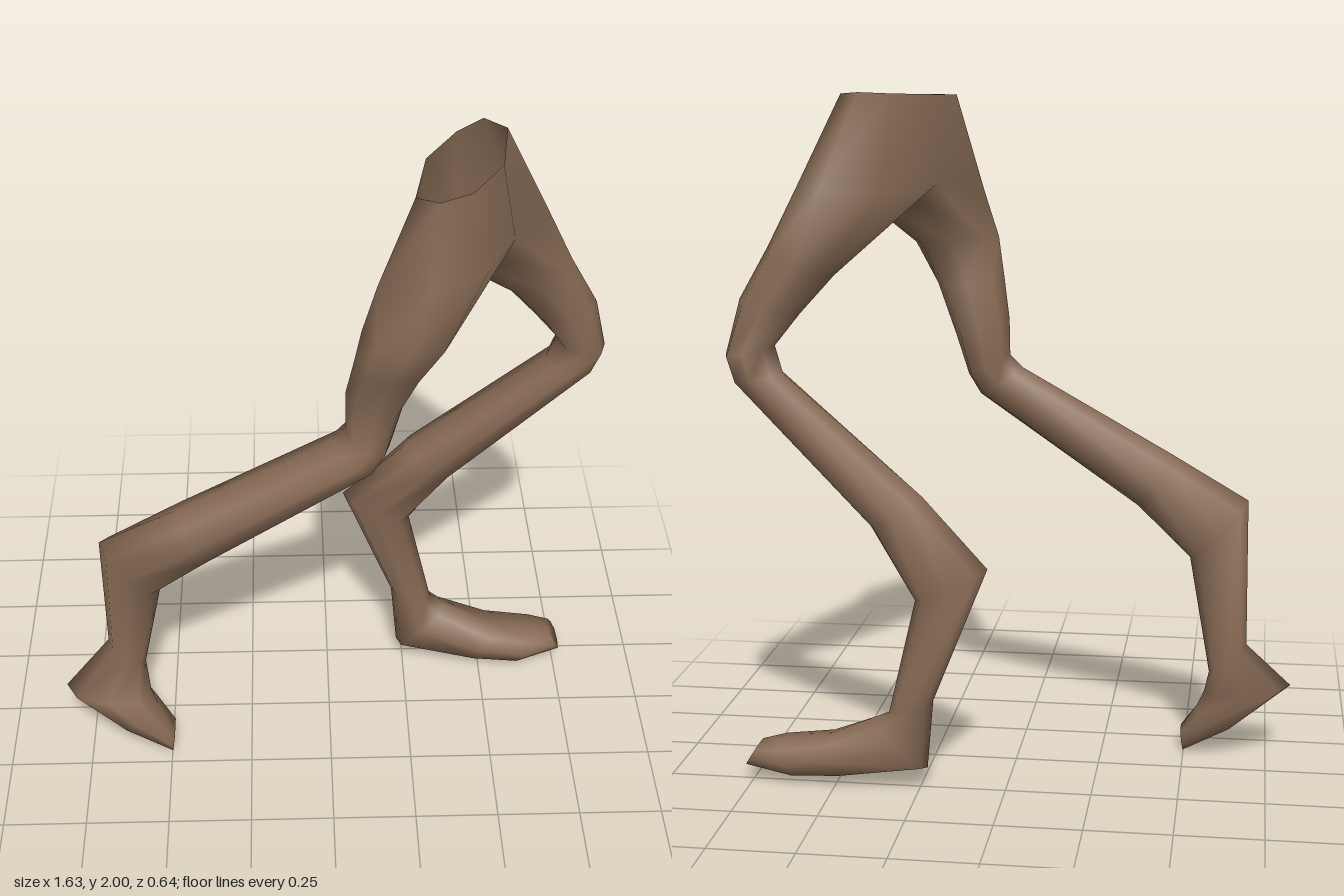
import * as THREE from 'three';

const SIDES = 8;

// Cross-section from its back edge (bx, by) to its front edge (fx, fy), spanning z0..z1.
// A power below 1 makes the section squarer.
function section([bx, by, fx, fy, z0, z1, power = 0.9]) {
  const soft = (v) => Math.sign(v) * Math.pow(Math.abs(v), power);
  return Array.from({ length: SIDES }, (_, i) => {
    const a = (i / SIDES) * Math.PI * 2;
    const c = Math.abs(Math.cos(a)) < 1e-6 ? 0 : soft(Math.cos(a));
    const s = Math.abs(Math.sin(a)) < 1e-6 ? 0 : soft(Math.sin(a));
    return [
      (bx + fx) / 2 + (c * (fx - bx)) / 2,
      (by + fy) / 2 + (c * (fy - by)) / 2,
      (z0 + z1) / 2 + (s * (z1 - z0)) / 2,
    ];
  });
}

export function createModel() {
  const group = new THREE.Group();
  group.name = 'stridingLegs';
  const skin = new THREE.MeshStandardMaterial({ color: 0x876a54, side: THREE.DoubleSide });
  skin.name = 'brown skin';

  // All parts share one vertex list, so shading stays smooth across the joins.
  const positions = [];
  const parts = [];
  const addPoint = (p) => positions.push(...p) / 3 - 1;
  const addRing = (points) => points.map(addPoint);

  function loft(name, rings, capped) {
    const index = [];
    for (let r = 0; r < rings.length - 1; r++) {
      const a = rings[r], b = rings[r + 1];
      for (let i = 0; i < SIDES; i++) {
        const j = (i + 1) % SIDES;
        index.push(a[i], a[j], b[j], a[i], b[j], b[i]);
      }
    }
    if (capped) {
      const end = rings[rings.length - 1];
      for (let i = 1; i < SIDES - 1; i++) index.push(end[0], end[i], end[i + 1]);
    }
    parts.push({ name, index });
  }

  // Pelvis: open rim above, hip line below; points run front, right, back, left
  const rim = addRing([
    [0.45, 1.99, 0.08], [0.36, 1.985, 0.22], [0.27, 1.985, 0.27], [0.21, 1.985, 0.24],
    [0.25, 1.99, 0.04], [0.34, 1.995, -0.1], [0.42, 2, -0.17], [0.48, 1.995, -0.12],
  ]);
  const hip = addRing([
    [0.5, 1.74, 0.03], [0.41, 1.74, 0.2], [0.25, 1.72, 0.3], [0.12, 1.7, 0.2],
    [0.23, 1.74, 0.01], [0.36, 1.72, -0.18], [0.53, 1.72, -0.235], [0.61, 1.74, -0.12],
  ]);
  loft('pelvis', [rim, hip], false);

  // Crotch line, back to front, shared by both thighs
  const crotch = addRing([[0.29, 1.69, 0.02], [0.38, 1.66, 0.03], [0.45, 1.69, 0.03]]);
  const rightTop = [...hip.slice(0, 5), ...crotch];
  const leftTop = [hip[0], crotch[2], crotch[1], crotch[0], ...hip.slice(4)];

  // Trailing right leg
  const rightRings = [
    [0.08, 1.57, 0.33, 1.55, 0.1, 0.32],
    [0.06, 1.45, 0.26, 1.43, 0.09, 0.28],
    [0.04, 1.33, 0.2, 1.28, 0.07, 0.23],
    [0.04, 1.22, 0.165, 1.16, 0.08, 0.25],
    [0.0, 1.18, 0.13, 1.1, 0.08, 0.26],
    [-0.45, 0.93, -0.35, 0.77, 0.06, 0.25],
    [-0.68, 0.8, -0.51, 0.62, 0.06, 0.21],
    [-0.685, 0.37, -0.575, 0.28, 0.03, 0.13],
  ].map((s) => addRing(section(s)));
  loft('rightLeg', [rightTop, ...rightRings], false);

  const rightFoot = [
    [-0.82, 0.23, -0.56, 0.2, 0.05, 0.21],
    [-0.65, 0.09, -0.54, 0.15, 0.07, 0.22, 0.7],
    [-0.5, 0.003, -0.49, 0.07, 0.11, 0.22, 0.7],
  ].map((s) => addRing(section(s)));
  loft('rightFoot', [rightRings[rightRings.length - 1], ...rightFoot], true);

  // Leading left leg
  const leftRings = [
    [0.5, 1.49, 0.69, 1.57, -0.255, -0.06],
    [0.6, 1.38, 0.775, 1.42, -0.24, -0.09],
    [0.67, 1.29, 0.815, 1.26, -0.27, -0.1],
    [0.645, 1.21, 0.79, 1.19, -0.28, -0.11],
    [0.24, 0.87, 0.39, 0.78, -0.32, -0.14],
    [0.05, 0.67, 0.26, 0.57, -0.315, -0.19],
    [0.21, 0.27, 0.34, 0.23, -0.305, -0.2],
  ].map((s) => addRing(section(s)));
  loft('leftLeg', [leftTop, ...leftRings], false);

  const leftFoot = [
    [0.23, 0.06, 0.38, 0.21, -0.305, -0.18, 0.6],
    [0.48, 0.03, 0.53, 0.14, -0.31, -0.14, 0.6],
    [0.62, 0.025, 0.68, 0.117, -0.31, -0.13, 0.6],
    [0.77, 0.05, 0.735, 0.108, -0.29, -0.17, 0.7],
  ].map((s) => addRing(section(s)));
  loft('leftFoot', [leftRings[leftRings.length - 1], ...leftFoot], true);

  // Normals are found on the whole body, then each part takes its own faces
  const body = new THREE.BufferGeometry();
  body.setAttribute('position', new THREE.Float32BufferAttribute(positions, 3));
  body.setIndex(parts.flatMap((p) => p.index));
  body.computeVertexNormals();
  for (const { name, index } of parts) {
    const geometry = new THREE.BufferGeometry();
    geometry.setAttribute('position', body.attributes.position);
    geometry.setAttribute('normal', body.attributes.normal);
    geometry.setIndex(index);
    const mesh = new THREE.Mesh(geometry, skin);
    mesh.name = name;
    group.add(mesh);
  }
  return group;
}
